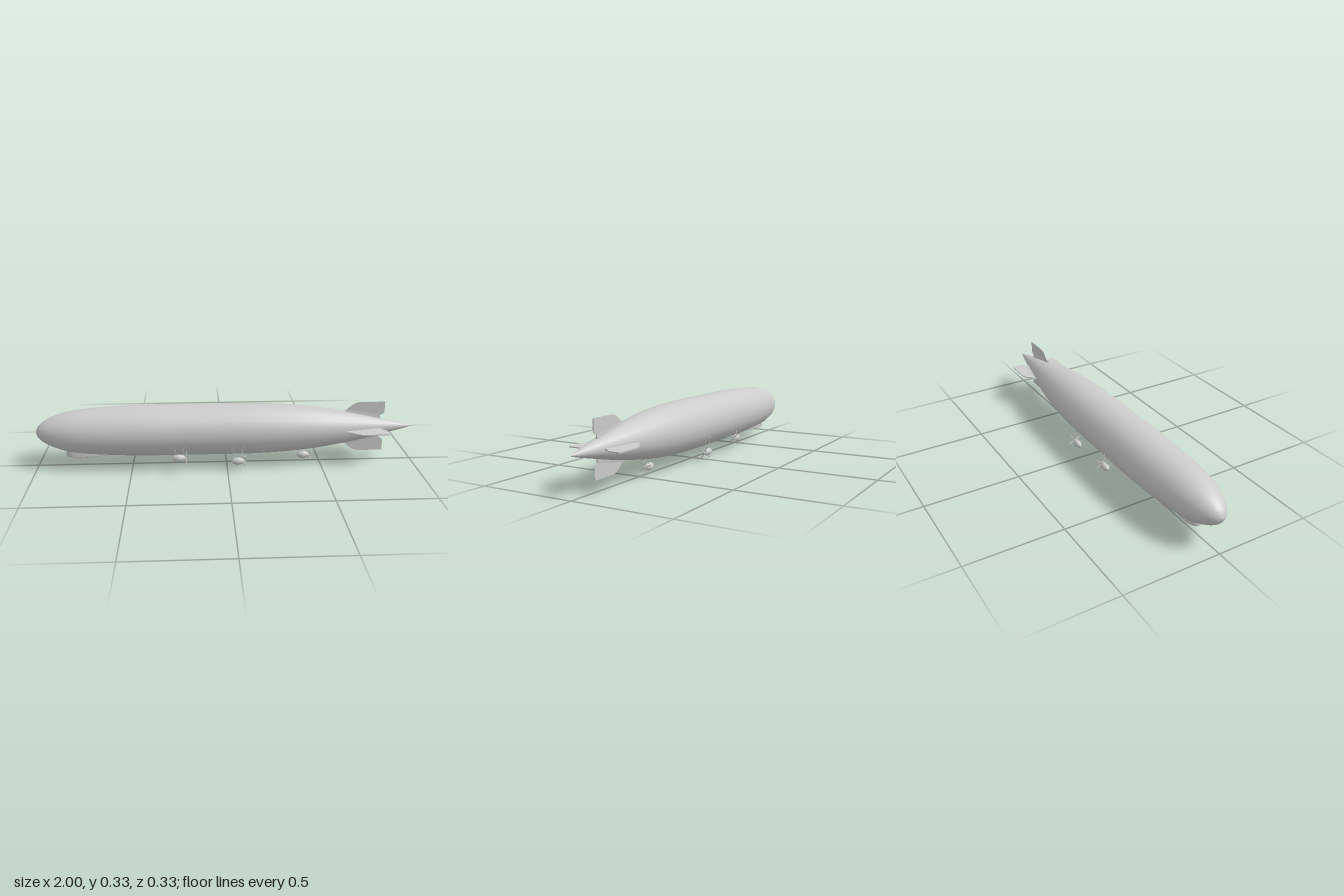
import * as THREE from 'three';

const AXIS_Y = 0.193;
const grey = new THREE.MeshStandardMaterial({ color: 0xcccccc, side: THREE.DoubleSide });

function add(parent, name, geometry) {
  const mesh = new THREE.Mesh(geometry, grey);
  mesh.name = name;
  parent.add(mesh);
  return mesh;
}

// Body of revolution along +x from [x, radius] pairs
function spindle(profile, sides) {
  const g = new THREE.LatheGeometry(profile.map(([x, r]) => new THREE.Vector2(r, x)), sides);
  return g.rotateZ(-Math.PI / 2);
}

// Thin rod between two points
function rod(parent, name, a, b, radius) {
  add(parent, name, new THREE.TubeGeometry(new THREE.LineCurve3(a, b), 1, radius, 5));
}

// Tail fin: thin plate with a tapering wedge at its root
function makeFin() {
  const fin = new THREE.Group();
  const s = new THREE.Shape();
  s.moveTo(0.62, 0.02);
  s.lineTo(0.625, 0.065);
  s.quadraticCurveTo(0.635, 0.1, 0.675, 0.125);
  s.quadraticCurveTo(0.69, 0.137, 0.72, 0.137);
  s.lineTo(0.842, 0.137);
  s.lineTo(0.842, 0.082);
  s.quadraticCurveTo(0.84, 0.068, 0.815, 0.062);
  s.lineTo(0.79, 0.02);
  add(fin, 'finPlate', new THREE.ExtrudeGeometry(s, { depth: 0.005, bevelEnabled: false, curveSegments: 8 })
    .translate(0, 0, -0.0025));

  const root = new THREE.BoxGeometry(0.19, 1, 1, 4, 1, 1).translate(0.725, 0, 0);
  const p = root.attributes.position;
  for (let i = 0; i < p.count; i++) {
    const t = (p.getX(i) - 0.63) / 0.19;
    const top = p.getY(i) > 0;
    const half = top ? 0.0026 : 0.016 - 0.01 * t;
    p.setY(i, top ? 0.096 - 0.032 * t : 0.025);
    p.setZ(i, Math.sign(p.getZ(i)) * half);
  }
  root.computeVertexNormals();
  add(fin, 'finRoot', root);
  return fin;
}

// Engine car with a four-bladed propeller at the rear
function makeEngineCar(bladeAngle) {
  const car = new THREE.Group();
  const pod = spindle([[-0.035, 0], [-0.032, 0.008], [-0.023, 0.0155], [-0.008, 0.02],
    [0.006, 0.02], [0.02, 0.015], [0.03, 0.008], [0.035, 0]], 12);
  add(car, 'enginePod', pod.scale(1, 1, 0.85));
  add(car, 'propellerHub', spindle([[0.03, 0], [0.03, 0.004], [0.037, 0.004], [0.041, 0]], 8));
  for (let i = 0; i < 4; i++) {
    const blade = new THREE.BoxGeometry(0.003, 0.034, 0.005).translate(0, 0.019, 0);
    blade.rotateX(bladeAngle + i * Math.PI / 2).translate(0.035, 0, 0);
    add(car, 'propellerBlade', blade);
  }
  return car;
}

export function createModel() {
  const model = new THREE.Group();
  model.name = 'airship';

  // Hull: twenty long gores, smoothed along a spline profile
  const outline = [[-1, 0], [-0.99, 0.025], [-0.965, 0.051], [-0.92, 0.077], [-0.86, 0.098],
    [-0.78, 0.114], [-0.66, 0.125], [-0.52, 0.132], [-0.38, 0.135], [-0.1, 0.135], [0.1, 0.135],
    [0.25, 0.13], [0.38, 0.121], [0.5, 0.107], [0.62, 0.087], [0.74, 0.063], [0.86, 0.035],
    [0.95, 0.014], [1, 0]];
  const curve = new THREE.SplineCurve(outline.map(([x, r]) => new THREE.Vector2(x, r)));
  const profile = curve.getPoints(54).map((v) => [v.x, Math.min(0.135, Math.max(0, v.y))]);
  add(model, 'hull', spindle(profile, 20)).position.y = AXIS_Y;

  // Four tail fins
  for (let i = 0; i < 4; i++) {
    const fin = makeFin();
    fin.name = 'tailFin';
    fin.position.y = AXIS_Y;
    fin.rotation.x = i * Math.PI / 2;
    model.add(fin);
  }

  // Control car under the nose: teardrop plan, flat floor
  const plan = new THREE.Shape();
  plan.moveTo(-0.85, 0);
  plan.bezierCurveTo(-0.85, 0.03, -0.81, 0.037, -0.77, 0.037);
  plan.bezierCurveTo(-0.7, 0.037, -0.64, 0.022, -0.59, 0);
  plan.bezierCurveTo(-0.64, -0.022, -0.7, -0.037, -0.77, -0.037);
  plan.bezierCurveTo(-0.81, -0.037, -0.85, -0.03, -0.85, 0);
  const carBody = new THREE.ExtrudeGeometry(plan, {
    depth: 0.05, bevelThickness: 0.005, bevelSize: 0.004, bevelOffset: -0.004, bevelSegments: 2, curveSegments: 10,
  });
  add(model, 'controlCar', carBody.rotateX(Math.PI / 2).translate(0, 0.112, 0));

  // Engine cars: two side pairs and one on the centreline
  const cars = [
    { x: -0.25, y: 0.085, z: 0.136, turn: 0.75 },
    { x: 0.055, y: 0.058, z: 0.125, turn: 0.5 },
    { x: 0.415, y: 0.036, z: 0, turn: 0.5 },
  ];
  for (const { x, y, z, turn } of cars) {
    for (const side of z ? [1, -1] : [1]) {
      const car = makeEngineCar(side * turn);
      car.name = 'engineCar';
      car.position.set(x, y, side * z);
      model.add(car);
      // Struts up and inward to the hull
      for (const dx of [-0.022, 0.022]) {
        const foot = new THREE.Vector3(x + dx * 0.5, y + 0.012, side * z);
        const ends = z ? [[0.147, side * 0.122], [0.09, side * 0.08]]
          : [[0.083, 0.022], [0.083, -0.022]];
        for (const [ey, ez] of ends) {
          rod(model, 'strut', foot, new THREE.Vector3(x + dx * 1.3, ey, ez), 0.0011);
        }
      }
    }
  }
  return model;
}
